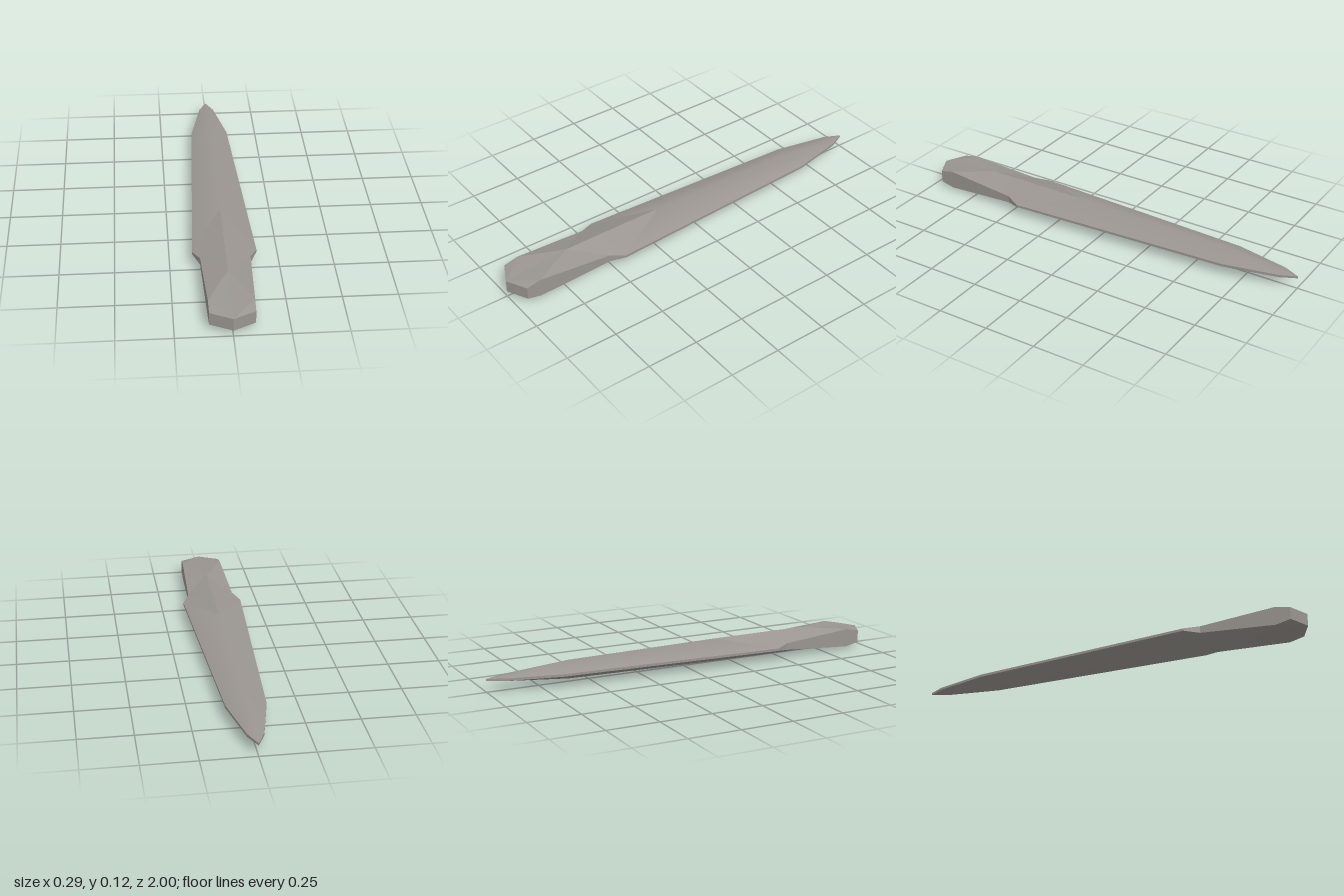
import * as THREE from 'three';
import { mergeGeometries } from 'three/addons/utils/BufferGeometryUtils.js';

const MID = 0.06; // height of the blade's centre plane

// Sections from butt to tip: [edge z, half width, edge half thickness, ridge z, ridge half height]
const SECTIONS = [
  [0.95, 0.1, 0.03, 1.0, 0.03],
  [0.88, 0.101, 0.045, 0.68, 0.058],
  [0.52, 0.114, 0.017, 0.5, 0.058],
  [0.45, 0.147, 0.006, 0.17, 0.0565],
  [-0.66, 0.092, 0.006, -0.6, 0.045],
  [-0.92, 0.037, 0.006, -0.92, 0.013],
  [-1.0, 0, 0.005, -1.0, 0.005],
];

// Six corners of a section, clockwise from the upper left edge
const ring = ([z, w, e, rz, h]) => [
  [-w, MID + e, z], [0, MID + h, rz], [w, MID + e, z],
  [w, MID - e, z], [0, MID - h, rz], [-w, MID - e, z],
];

function surface(points, index) {
  const g = new THREE.BufferGeometry();
  g.setAttribute('position', new THREE.Float32BufferAttribute(points.flat(), 3));
  g.setIndex(index);
  return g;
}

// Skin the chosen ring corners along the sections, with mirrored diagonals
function strip(rings, corners) {
  const points = rings.flatMap((r) => corners.map((c) => r[c]));
  const n = corners.length;
  const index = [];
  const same = (p, q) => points[p].every((v, k) => Math.abs(v - points[q][k]) < 1e-6);
  const tri = (a, b, c) => {
    if (!same(a, b) && !same(b, c) && !same(a, c)) index.push(a, b, c);
  };
  for (let i = 0; i < rings.length - 1; i++) {
    for (let j = 0; j < n - 1; j++) {
      const a = i * n + j, b = a + 1, d = a + n, c = d + 1;
      if (j === 0) { tri(a, b, d); tri(b, c, d); }
      else { tri(a, b, c); tri(a, c, d); }
    }
  }
  return surface(points, index);
}

// Top, right edge, underside and left edge
const FACES = [[0, 1, 2], [2, 3], [3, 4, 5], [5, 0]];

function flat(geometry) {
  const g = geometry.toNonIndexed();
  g.computeVertexNormals();
  return g;
}

function smooth(geometry) {
  geometry.computeVertexNormals();
  return geometry.toNonIndexed();
}

export function createModel() {
  const group = new THREE.Group();
  const stone = new THREE.MeshStandardMaterial({ color: 0x9a9590 });
  stone.name = 'warm grey';
  const rings = SECTIONS.map(ring);

  const add = (name, geometries) => {
    const mesh = new THREE.Mesh(mergeGeometries(geometries), stone);
    mesh.name = name;
    group.add(mesh);
  };

  // Faceted grip with shoulders and a pointed butt
  const grip = rings.slice(0, 4);
  const butt = surface(rings[0], [1, 0, 5, 1, 5, 4, 1, 4, 3, 1, 3, 2]);
  add('grip', [...FACES.map((f) => flat(strip(grip, f))), flat(butt)]);

  // Tapering blade, softened across the ridge
  const blade = rings.slice(3);
  add('blade', FACES.map((f) => smooth(strip(blade, f))));

  return group;
}
